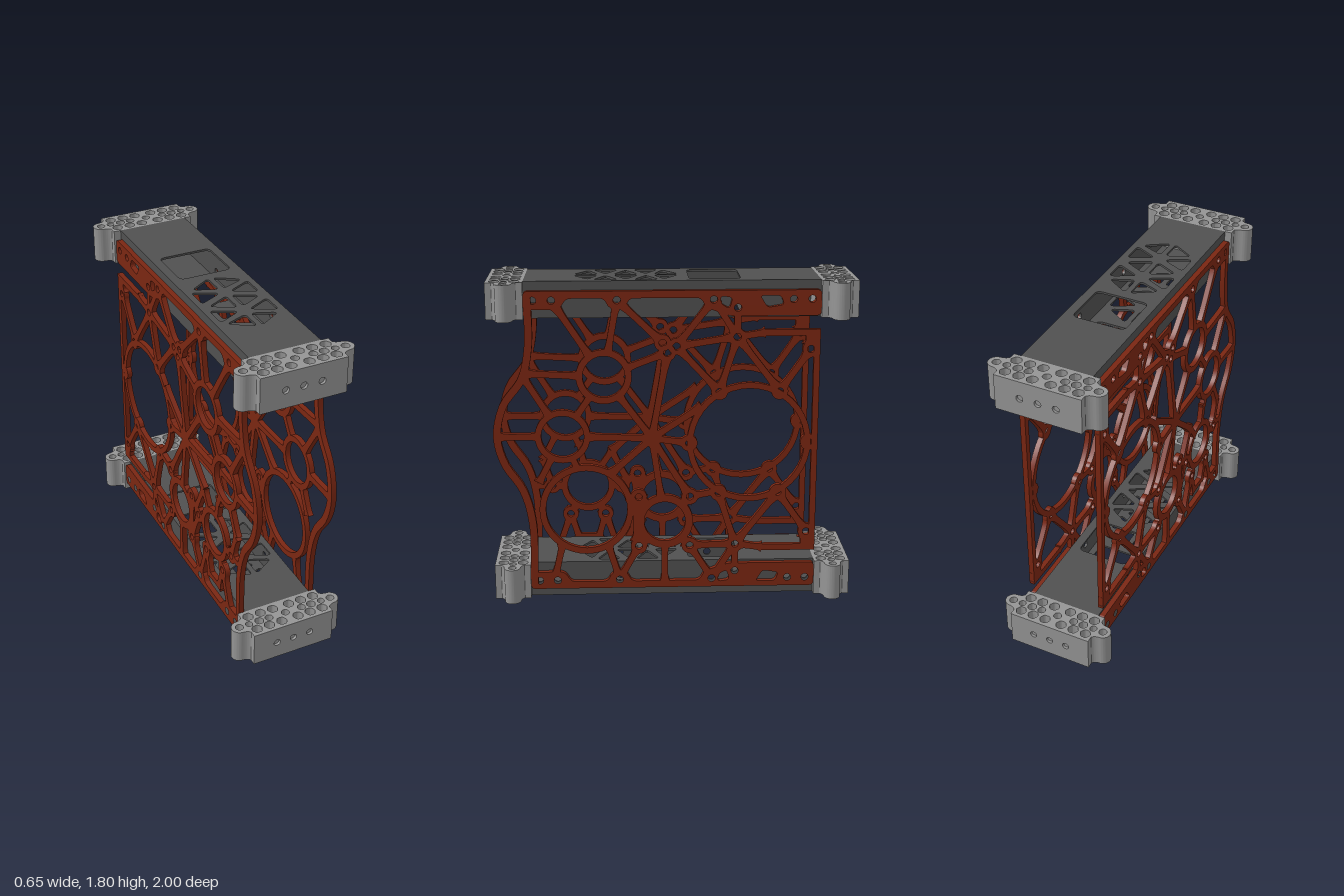
import * as THREE from 'three';
import { mergeGeometries, toCreasedNormals } from 'three/addons/utils/BufferGeometryUtils.js';

const rust = new THREE.MeshStandardMaterial({ color: 0x7a2612 });
const darkGrey = new THREE.MeshStandardMaterial({ color: 0x505050 });
const grey = new THREE.MeshStandardMaterial({ color: 0x949494 });
const T = 0.03; // side plate thickness

const V = (p) => new THREE.Vector2(p[0], p[1]);
const circle = (x, y, r) => new THREE.Path().absarc(x, y, r, 0, Math.PI * 2, true);

// closed polygon with rounded corners
function rounded(pts, r, Kind = THREE.Path) {
  const path = new Kind(), n = pts.length;
  pts.map(V).forEach((p, i, a) => {
    const prev = a[(i + n - 1) % n], next = a[(i + 1) % n];
    const k = Math.min(r, p.distanceTo(prev) * 0.45, p.distanceTo(next) * 0.45);
    const s = p.clone().add(prev.clone().sub(p).setLength(k));
    const e = p.clone().add(next.clone().sub(p).setLength(k));
    i ? path.lineTo(s.x, s.y) : path.moveTo(s.x, s.y);
    path.quadraticCurveTo(p.x, p.y, e.x, e.y);
  });
  path.closePath();
  return path;
}

function extrude(shape, holes, depth) {
  shape.holes.push(...holes);
  const g = new THREE.ExtrudeGeometry(shape, { depth, bevelEnabled: false, curveSegments: 20 });
  return toCreasedNormals(g, 0.5);
}
// shapes drawn as (-z, y) and thickened along +x
const sideways = (shape, holes, depth, x) => extrude(shape, holes, depth).rotateY(Math.PI / 2).translate(x, 0, 0);
// shapes drawn as (x, z) and thickened downward from y
const flat = (shape, holes, depth, y) => extrude(shape, holes, depth).rotateX(Math.PI / 2).translate(0, y, 0);
const side = (pts) => pts.map(([z, y]) => [-z, y]);
const flipY = (pts) => pts.map(([z, y, ...r]) => [z, 1.8 - y, ...r]);

// ---- side plates: pieces in (z, y) ----
const ring = (z, y, rOut, rIn) =>
  sideways(new THREE.Shape().absarc(-z, y, rOut, 0, Math.PI * 2), [circle(-z, y, rIn)], T, 0);

// ribbon of half width w along points, flared at its ends
function ribbon(pts, w, flare = 0) {
  const curve = new THREE.CatmullRomCurve3(side(pts).map(([x, y]) => new THREE.Vector3(x, y, 0)));
  const a = [], b = [], n = pts.length > 2 ? 40 : 14;
  for (let i = 0; i <= n; i++) {
    const t = i / n, p = curve.getPointAt(t), d = curve.getTangentAt(t);
    const h = w * (1 + flare * Math.abs(2 * t - 1) ** 5);
    a.push(new THREE.Vector2(p.x - d.y * h, p.y + d.x * h));
    b.unshift(new THREE.Vector2(p.x + d.y * h, p.y - d.x * h));
  }
  return sideways(new THREE.Shape([...a, ...b]), [], T, 0);
}

// strut between two nodes [z, y, radius], stopping at each node's radius
function strut([z1, y1, r1 = 0], [z2, y2, r2 = 0], w = 0.018) {
  const a = new THREE.Vector2(z1, y1), b = new THREE.Vector2(z2, y2), d = b.clone().sub(a).normalize();
  a.addScaledVector(d, r1);
  b.addScaledVector(d, -r2);
  return ribbon([[a.x, a.y], [b.x, b.y]], w, 0.7);
}

// bolt positions shared by rail and tube wall, upper half
const railBolts = [[0.75, 1.7], [0.65, 1.7], [0.3, 1.7], [-0.22, 1.7], [-0.35, 1.655], [-0.65, 1.7], [-0.75, 1.7]];
const boltHoles = (pts) => pts.map(([z, y]) => circle(-z, y, 0.02));

const A = [0.375, 1.28, 0.132], B = [0.605, 0.945, 0.132], C = [0.48, 0.52, 0.137];
const D = [0.045, 0.445, 0.135], H = [0.115, 0.93], BIG = [-0.42, 0.9, 0.325];
const pad = (z, y) => [z, y, 0.03];

function rail(map) {
  const outline = [[0.8, 1.75], [0.8, 1.65], [0.61, 1.65], [0.57, 1.71], [0.37, 1.71], [0.34, 1.655], [0.26, 1.655],
    [0.23, 1.71], [-0.15, 1.71], [-0.18, 1.655], [-0.31, 1.61], [-0.8, 1.61], [-0.8, 1.75]];
  const pockets = [[[-0.47, 1.72], [-0.58, 1.72], [-0.6, 1.67], [-0.51, 1.655]],
    [[-0.255, 1.72], [-0.32, 1.71], [-0.305, 1.65], [-0.26, 1.675]]];
  return sideways(rounded(side(map(outline)), 0.025, THREE.Shape),
    [...boltHoles(map(railBolts)), ...pockets.map((p) => rounded(side(map(p)), 0.02))], T, 0);
}

function sidePlate(name, openRing) {
  const parts = [];
  const pads = [pad(0.055, 1.465), pad(-0.02, 1.445), pad(0.03, 1.41), pad(0.19, 0.59), pad(-0.095, 0.59),
    pad(0.19, 0.3), pad(-0.095, 0.3), pad(-0.09, 0.9), pad(-0.75, 0.9)];

  // halves that mirror between top and bottom
  for (const map of [(p) => p, flipY]) {
    parts.push(rail(map));
    const [hi, hub, corner, b1, b2, boss, e0, e1, e2] = map([[-0.35, 1.655, 0.03], [-0.35, 1.495, 0.03],
      [-0.75, 1.425, 0.03], [-0.255, 1.19, 0.03], [-0.585, 1.19, 0.03], [-0.22, 1.7, 0.03],
      [-0.5, 1.517], [-0.78, 1.517], [-0.783, 0.89]]);
    pads.push(hub, corner, b1, b2);
    parts.push(strut(hi, hub), strut(boss, hub), strut(hub, b1), strut(hub, b2), strut(corner, b2),
      strut(hub, e0), ribbon([[e0[0] + 0.02, e0[1]], [-0.8, e1[1]]], 0.018), ribbon([[-0.783, e1[1]], e2], 0.017),
      strut(corner, [-0.75, e1[1]], 0.03));
  }
  for (const [z, y] of pads) parts.push(ring(z, y, 0.046, 0.02));

  // bulging front edge
  parts.push(ribbon([[0.78, 1.72], [0.78, 1.45], [0.82, 1.27], [0.925, 1.12], [0.963, 0.945], [0.925, 0.79],
    [0.83, 0.64], [0.782, 0.45], [0.78, 0.08]], 0.021));

  // bearing rings
  parts.push(ring(...A.slice(0, 2), 0.152, 0.115), ring(...B.slice(0, 2), 0.152, 0.117),
    ring(...D.slice(0, 2), 0.158, 0.115), ring(-0.42, 0.9, 0.342, 0.308));

  // web struts
  const links = [[[0.8, 1.3], A], [[0.65, 1.7, 0.04], A], [[0.3, 1.7, 0.03], A], [A, [0.06, 1.4]], [A, B], [A, H],
    [[0.955, 0.945], B], [[0.81, 1.28], B], [B, H], [B, [0.74, 0.68]], [B, [0.53, 0.765]], [H, [0.34, 0.73]],
    [H, pad(0.03, 1.41)], [H, pad(-0.09, 0.9)], [H, BIG.map((v, i) => [-0.16, 1.11, 0][i])], [H, D],
    [H, pad(-0.095, 0.59)], [[0.3, 1.7, 0.03], pad(0.055, 1.465)], [[-0.22, 1.7, 0.03], pad(-0.02, 1.445)],
    [pad(-0.02, 1.445), pad(-0.35, 1.495)], [pad(-0.02, 1.445), pad(-0.255, 1.19)],
    [pad(-0.095, 0.59), pad(-0.255, 0.62)], [pad(-0.095, 0.3), pad(-0.35, 0.305)],
    [pad(-0.095, 0.3), pad(-0.22, 0.1)], [D, [0.045, 0.08]], [pad(0.19, 0.3), pad(0.3, 0.1)],
    [pad(0.19, 0.59), [0.25, 0.55]]];
  for (const [a, b] of links) parts.push(strut(a, b));
  for (const [z, y] of [[0.19, 0.59], [-0.095, 0.59], [0.19, 0.3], [-0.095, 0.3]]) parts.push(strut(pad(z, y), D, 0.026));
  parts.push(strut(pad(0.19, 0.59), pad(0.19, 0.3), 0.03));
  parts.push(sideways(new THREE.Shape().absarc(-H[0], H[1], 0.05, 0, Math.PI * 2), [], T, 0));

  if (openRing) {
    // wide clearance ring
    parts.push(ring(0.48, 0.52, 0.262, 0.226), strut([0.62, 0.31], [0.66, 0.13]), strut([0.36, 0.3], pad(0.3, 0.1)));
  } else {
    // small ring with bolt pads and spokes
    const m = [pad(0.69, 0.52), pad(0.28, 0.52), pad(0.585, 0.345), pad(0.38, 0.345)];
    parts.push(ring(0.48, 0.52, 0.157, 0.12));
    for (const p of m) parts.push(ring(p[0], p[1], 0.046, 0.02), strut(p, C, 0.024));
    parts.push(strut(C, [0.53, 0.79]), strut(C, [0.34, 0.73]), strut([0.53, 0.765], B), strut(m[0], [0.79, 0.52]),
      strut(m[0], [0.74, 0.68]), strut(m[1], pad(0.19, 0.59)), strut(m[1], pad(0.19, 0.3)),
      strut(m[2], [0.54, 0.2]), strut(m[3], [0.42, 0.2]), strut([0.56, 0.2], [0.4, 0.2]),
      strut(m[2], [0.66, 0.13]), strut(m[3], pad(0.3, 0.1)), strut([0.34, 0.73], [0.25, 0.55]));
  }
  const mesh = new THREE.Mesh(mergeGeometries(parts), rust);
  mesh.name = name;
  return mesh;
}

// ---- rectangular tube with lightening holes ----
function tube(name, y0, map) {
  const w = 0.012, rect = (a, b, c, d) => rounded([[a, b], [c, b], [c, d], [a, d]], 0, THREE.Shape);
  const holes = () => {
    const list = [rounded([[-0.15, -0.37], [0.15, -0.37], [0.15, -0.09], [-0.15, -0.09]], 0.035)];
    for (const s of [-1, 1]) for (let i = 0; i < 5; i++) {
      const z = 0.03 + i * 0.11, skew = i === 0 ? 0.015 : i === 4 ? -0.015 : 0;
      const [base, tip] = i % 2 ? [0.165, 0.03] : [0.015, 0.145];
      list.push(rounded([[s * base, z - 0.068], [s * base, z + 0.068], [s * tip, z + skew]], 0.03));
    }
    return list;
  };
  const parts = [0.2, w].map((y) => flat(rect(-0.2, -0.8, 0.2, 0.8), holes(), w, y0 + y));
  for (const x of [-0.2, 0.2 - w]) parts.push(sideways(rect(-0.8, y0, 0.8, y0 + 0.2), boltHoles(map(railBolts)), w, x));
  const mesh = new THREE.Mesh(mergeGeometries(parts), darkGrey);
  mesh.name = name;
  return mesh;
}

// ---- end bracket: ribbed block with ears, outer face at local +y ----
function bracketGeometry() {
  const outline = () => {
    const s = new THREE.Shape().moveTo(-0.24, 0.8).lineTo(0.24, 0.8).lineTo(0.24, 0.835);
    s.quadraticCurveTo(0.25, 0.852, 0.28, 0.855).absarc(0.28, 0.9, 0.045, -Math.PI / 2, Math.PI / 2);
    s.quadraticCurveTo(0.25, 0.948, 0.24, 0.965).lineTo(0.24, 0.985).lineTo(-0.24, 0.985).lineTo(-0.24, 0.965);
    s.quadraticCurveTo(-0.25, 0.948, -0.28, 0.945).absarc(-0.28, 0.9, 0.045, Math.PI / 2, Math.PI * 1.5);
    s.quadraticCurveTo(-0.25, 0.852, -0.24, 0.835);
    return s;
  };
  const bolts = () => [-0.28, -0.1, 0, 0.1, 0.28].map((x) => circle(x, 0.9, 0.022));
  const hex = (x, z, r) => rounded([0, 1, 2, 3, 4, 5].map((i) =>
    [x + r * Math.cos(i * Math.PI / 3), z + r * Math.sin(i * Math.PI / 3)]), 0.008);
  const pockets = [];
  for (const s of [-1, 1]) {
    for (const x of [0.05, 0.125, 0.2]) for (const z of [0.845, 0.953]) pockets.push(hex(s * x, z, 0.031));
    pockets.push(hex(s * 0.16, 0.9, 0.027), hex(s * 0.222, 0.9, 0.022));
  }
  const wall = rounded([[-0.24, -0.1], [0.24, -0.1], [0.24, 0.1], [-0.24, 0.1]], 0, THREE.Shape);
  return mergeGeometries([
    flat(outline(), [...bolts(), ...pockets], 0.2, 0.1),
    flat(outline(), bolts(), 0.02, 0.06), // floor between the pockets
    extrude(wall, [-0.1, 0, 0.1].map((x) => circle(x, 0, 0.019)), 0.015).translate(0, 0, 0.985),
  ]);
}

export function createModel() {
  const model = new THREE.Group();
  const left = sidePlate('leftSidePlate', true), right = sidePlate('rightSidePlate', false);
  left.position.x = 0.2;
  right.position.x = -0.2 - T;
  model.add(left, right, tube('topTube', 1.6, (p) => p), tube('bottomTube', 0, flipY));

  const geometry = bracketGeometry();
  for (const [name, y, axis] of [['topFrontBracket', 1.7, null], ['topBackBracket', 1.7, 'y'],
    ['bottomFrontBracket', 0.1, 'z'], ['bottomBackBracket', 0.1, 'x']]) {
    const bracket = new THREE.Mesh(geometry, grey);
    bracket.name = name;
    bracket.position.y = y;
    if (axis) bracket.rotation[axis] = Math.PI;
    model.add(bracket);
  }
  return model;
}
